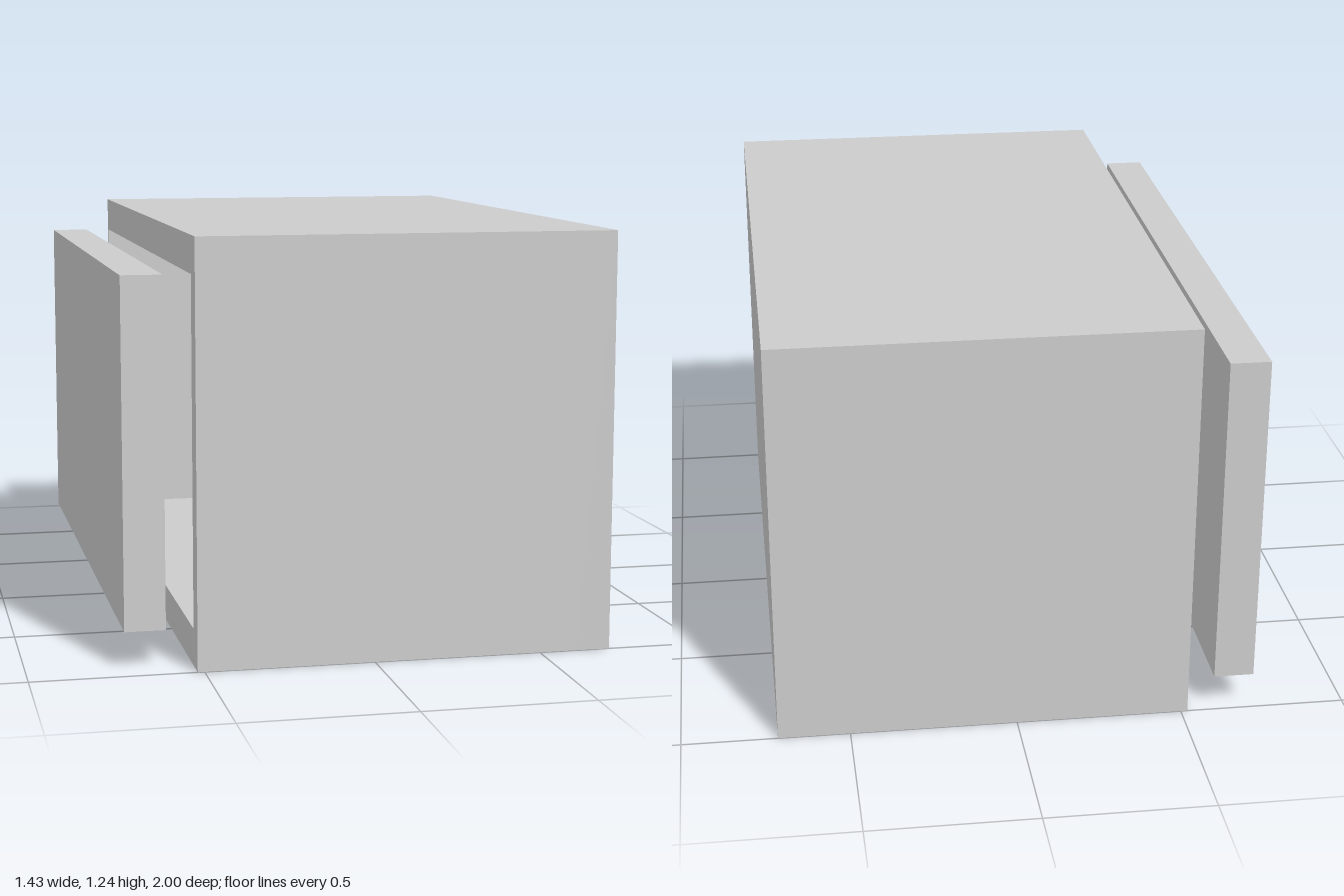
import * as THREE from 'three';

const material = new THREE.MeshStandardMaterial({ color: 0xcccccc, flatShading: true });

// Box from its lower and upper corners
function box(name, [x0, y0, z0], [x1, y1, z1]) {
  const mesh = new THREE.Mesh(new THREE.BoxGeometry(x1 - x0, y1 - y0, z1 - z0), material);
  mesh.name = name;
  mesh.position.set((x0 + x1) / 2, (y0 + y1) / 2, (z0 + z1) / 2);
  return mesh;
}

// Rectangle in the z-y plane; z is negated because the extrusion is turned to run along x
function rectangle(target, z0, z1, y0, y1) {
  target.moveTo(-z1, y0);
  target.lineTo(-z0, y0);
  target.lineTo(-z0, y1);
  target.lineTo(-z1, y1);
  target.closePath();
  return target;
}

export function createModel() {
  const model = new THREE.Group();
  model.name = 'openCabinet';

  const cabinet = new THREE.Group();
  cabinet.name = 'cabinet';

  // Hollow shell around the side opening
  const outline = rectangle(new THREE.Shape(), -1, 1, 0, 1.24);
  outline.holes.push(rectangle(new THREE.Path(), -0.99, 0.93, 0.11, 1.13));
  const shell = new THREE.Mesh(
    new THREE.ExtrudeGeometry(outline, { depth: 1.13, bevelEnabled: false }),
    material
  );
  shell.name = 'cabinetShell';
  shell.rotation.y = Math.PI / 2;
  shell.position.x = -0.52;

  // Wall closing the far side of the shell
  cabinet.add(shell, box('cabinetInnerWall', [0.61, 0, -1], [0.715, 1.24, 1]));

  // Door panel standing clear of the opening
  model.add(cabinet, box('doorPanel', [-0.72, 0.11, -0.995], [-0.6, 1.13, 0.93]));
  return model;
}
